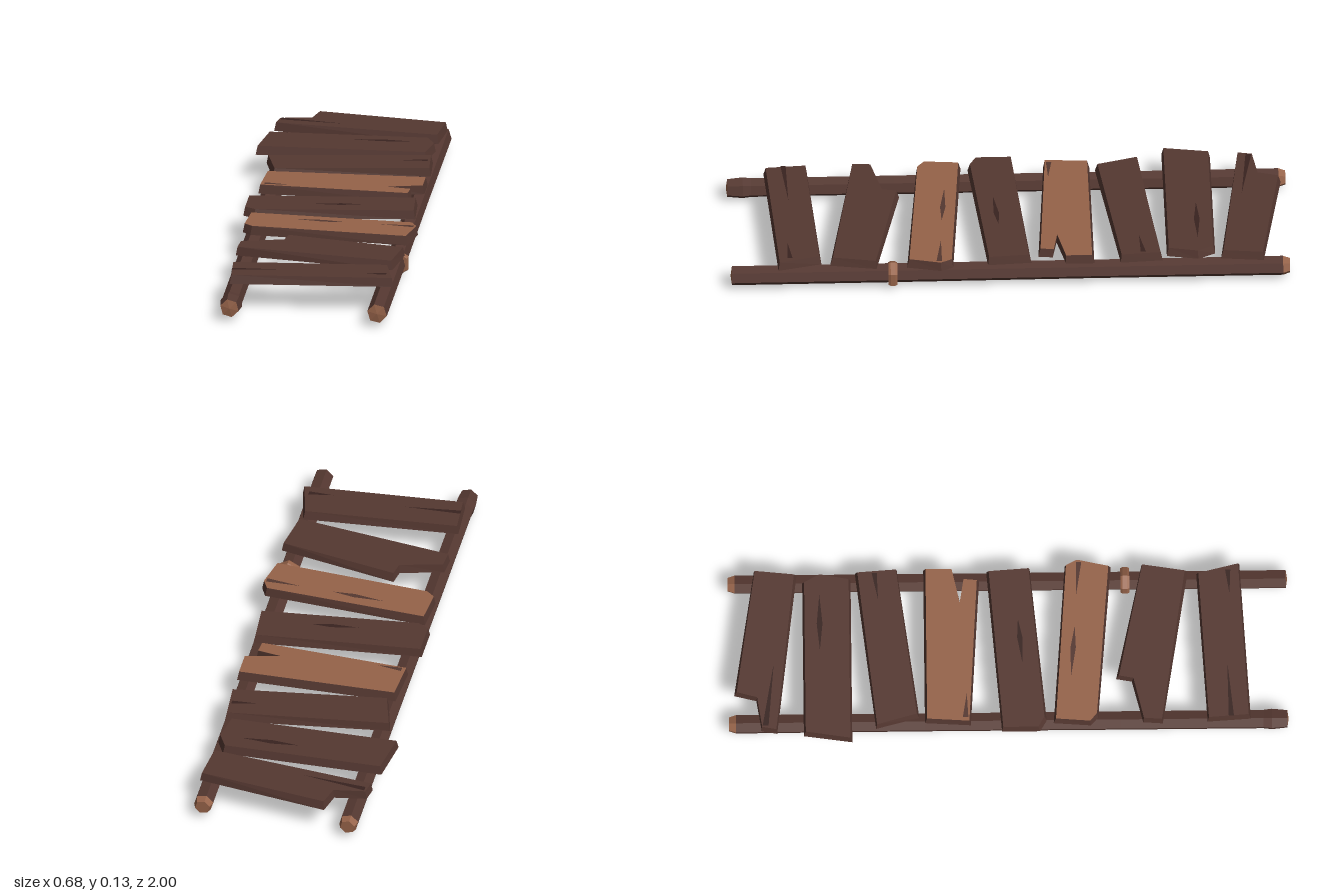
import * as THREE from 'three';

const mat = (name, color) => {
  const m = new THREE.MeshStandardMaterial({ color, flatShading: true });
  m.name = name;
  return m;
};

const PLANK_BOTTOM = 0.097, PLANK_TOP = 0.13;

// Planks from the back of the bridge to the front.
// back, front: edge line as [z at x = 0, slope]; left, right: x of the [back, front] corner.
// leftChip, rightChip: extra end points as [x, t], with t running 0 (back edge) to 1 (front edge).
// cracks: slivers as [tip x, wide x, t].
const PLANKS = [
  { back: [-0.955, 0.16], front: [-0.79, 0.125], left: [-0.16, -0.305], right: [0.31, 0.295],
    leftChip: [[-0.295, 0.68], [-0.18, 0.48]], cracks: [[-0.05, -0.285, 0.75]] },
  { back: [-0.733, 0], front: [-0.56, 0], left: [-0.315, -0.34], right: [0.265, 0.275],
    rightChip: [[0.295, 0.35]], cracks: [[0, 0.1, 0.35], [0.21, 0.1, 0.35]] },
  { back: [-0.509, -0.119], front: [-0.353, -0.134], left: [-0.29, -0.25], right: [0.3, 0.31],
    cracks: [[0.19, 0.29, 0.45]] },
  { light: true, back: [-0.3, 0], front: [-0.118, 0.064], left: [-0.27, -0.28], right: [0.31, 0.265],
    rightChip: [[0.31, 0.5], [0.18, 0.68], [0.27, 0.74]], cracks: [[-0.17, -0.26, 0.88]] },
  { back: [-0.05, -0.083], front: [0.11, -0.096], left: [-0.305, -0.265], right: [0.3, 0.31],
    leftChip: [[-0.305, 0.83]], cracks: [[-0.06, 0.04, 0.6], [0.11, 0.04, 0.6]] },
  { light: true, back: [0.181, 0.076], front: [0.342, 0.088], left: [-0.275, -0.255], right: [0.32, 0.315],
    leftChip: [[-0.285, 0.85]], rightChip: [[0.34, 0.25]],
    cracks: [[-0.11, 0, 0.32], [0.08, 0, 0.32], [0.2, 0.325, 0.3]] },
  { back: [0.409, 0.22], front: [0.596, 0.165], left: [-0.11, -0.28], right: [0.32, 0.295],
    leftChip: [[-0.275, 0.65], [-0.12, 0.3]] },
  { back: [0.693, -0.0625], front: [0.849, -0.06], left: [-0.275, -0.265], right: [0.285, 0.32],
    cracks: [[-0.06, -0.265, 0.55], [0.2, 0.29, 0.72]] },
];

// Point on a plank at x, a fraction t of the way from its back edge to its front edge
const across = ({ back, front }, x, t) => [
  x, THREE.MathUtils.lerp(back[0] + back[1] * x, front[0] + front[1] * x, t)];

// Full outline of a plank, round from its back left corner
function outline(plank) {
  const { left, right, leftChip = [], rightChip = [] } = plank;
  return [[left[0], 0], [right[0], 0], ...rightChip, [right[1], 1], [left[1], 1], ...leftChip]
    .map(([x, t]) => across(plank, x, t));
}

// Rule that draws the top outline in slightly, so the plank edges slope
function taper(pts) {
  const mid = (k) => (Math.min(...pts.map((p) => p[k])) + Math.max(...pts.map((p) => p[k]))) / 2;
  const cx = mid(0), cz = mid(1);
  return ([x, z]) => [cx + (x - cx) * 0.98, cz + (z - cz) * 0.92];
}

const toShape = (pts) => new THREE.Shape(pts.map(([x, z]) => new THREE.Vector2(x, -z)));

// Flat face lying at height y
const plate = (pts, y) => new THREE.ShapeGeometry(toShape(pts)).rotateX(-Math.PI / 2).translate(0, y, 0);

// Plank block with its upper corners drawn in
function plankBlock(pts, inset) {
  const depth = PLANK_TOP - PLANK_BOTTOM - 0.001;
  const geo = new THREE.ExtrudeGeometry(toShape(pts), { depth, bevelEnabled: false }).rotateX(-Math.PI / 2);
  const p = geo.attributes.position;
  for (let k = 0; k < p.count; k++) {
    if (p.getY(k) < depth / 2) continue;
    const [x, z] = inset([p.getX(k), p.getZ(k)]);
    p.setXYZ(k, x, p.getY(k), z);
  }
  geo.computeVertexNormals();
  return geo.translate(0, PLANK_BOTTOM, 0);
}

// Six-sided turned part lying along z, from [radius, z] points
const turned = (profile, turn) => new THREE.LatheGeometry(
  profile.map(([r, z]) => new THREE.Vector2(r, z)), 6).rotateY(turn).rotateX(Math.PI / 2);

export function createModel() {
  const bark = mat('darkWood', 0x553831);
  const cut = mat('lightWood', 0x966349);
  const split = mat('crackShadow', 0x38231f);
  const root = new THREE.Group();
  root.name = 'plankBridge';

  const add = (parent, name, geo, material) => {
    const mesh = new THREE.Mesh(geo, material);
    mesh.name = name;
    parent.add(mesh);
    return mesh;
  };

  // Planks with sloped edges, pale tops and cracks
  PLANKS.forEach((spec, i) => {
    const plank = new THREE.Group();
    plank.name = `plank${i + 1}`;
    root.add(plank);
    const pts = outline(spec);
    const inset = taper(pts);
    add(plank, 'plankBody', plankBlock(pts, inset), bark);
    if (spec.light) add(plank, 'plankTop', plate(pts.map(inset), PLANK_TOP), cut);
    (spec.cracks ?? []).forEach(([tip, wide, t]) => {
      const sliver = [across(spec, tip, t), across(spec, wide, t - 0.06), across(spec, wide, t + 0.06)];
      add(plank, 'crack', plate(sliver, PLANK_TOP + 0.001), spec.light ? bark : split);
    });
  });

  // Two side poles with pale cut ends
  const pole = (name, x, y, turn, r, frontR, tipR) => {
    const g = new THREE.Group();
    g.name = name;
    g.position.set(x, y, 0);
    root.add(g);
    add(g, 'poleShaft', turned([[r, -0.975], [r * 0.97, -0.3], [r, 0.4], [r, 0.91], [frontR, 0.94], [tipR, 0.995]], turn), bark);
    add(g, 'backEnd', turned([[0, -1], [r * 0.75, -1], [r, -0.975]], turn), cut);
    add(g, 'frontEnd', turned([[tipR, 0.995], [0, 1]], turn), cut);
  };
  pole('rightPole', -0.25, 0.05, 0.25, 0.036, 0.04, 0.034);
  pole('leftPole', 0.281, 0.051, 0.3, 0.036, 0.036, 0.036);

  // Binding around the left pole
  const ring = add(root, 'poleBinding', turned(
    [[0.033, -0.016], [0.044, -0.016], [0.0485, -0.008], [0.0485, 0.008], [0.044, 0.016], [0.033, 0.016]], 0), cut);
  ring.position.set(0.283, 0.0485, 0.42);

  return root;
}
